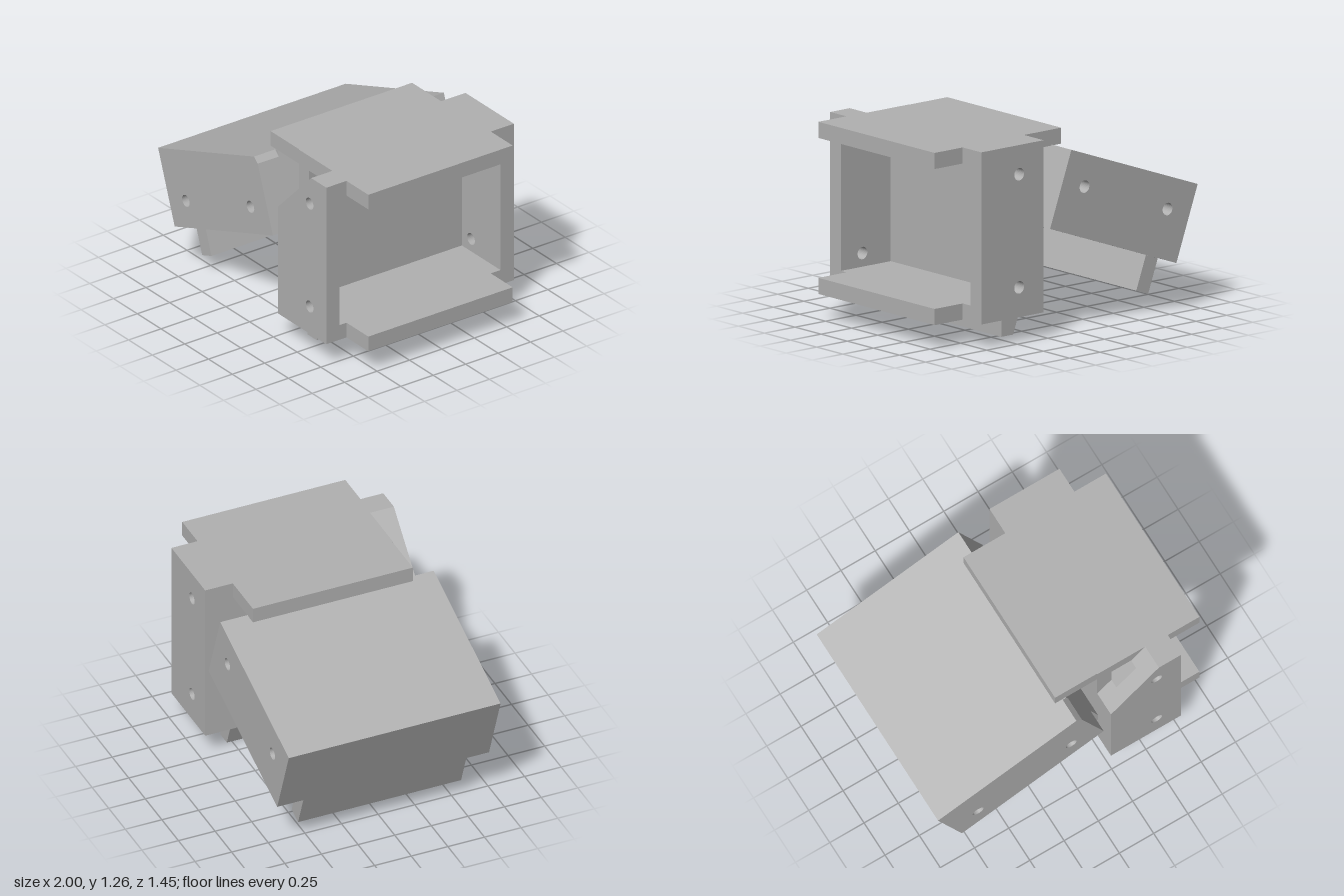
import * as THREE from 'three';

const metal = new THREE.MeshStandardMaterial({ color: 0xb0b0b0 });
metal.name = 'plainGrey';

const LEN = 1.1, DEPTH = 0.51, T = 0.103;   // housing length, depth, wall thickness
const OUT = 0.723, IN = 0.62, CUT = 0.56;   // z of outer faces, inner faces, corner cut

// Extrudes an outline between two z values, with optional round screw holes
function slab(name, points, z0, z1, holes = []) {
  const shape = new THREE.Shape(points.map(([x, y]) => new THREE.Vector2(x, y)));
  for (const [x, y] of holes) {
    const hole = new THREE.Path();
    hole.absarc(x, y, 0.04, 0, Math.PI * 2, true);
    shape.holes.push(hole);
  }
  const geo = new THREE.ExtrudeGeometry(shape, { depth: z1 - z0, bevelEnabled: false, curveSegments: 16 });
  geo.translate(0, 0, z0);
  const mesh = new THREE.Mesh(geo, metal);
  mesh.name = name;
  return mesh;
}

const rect = (x0, y0, x1, y1) => [[x0, y0], [x1, y0], [x1, y1], [x0, y1]];

// Open box with its length along x, its wall at y = 0 and its mouth facing -y.
// du, dv: size of the corner cut on the front side.
function housing(name, du, dv) {
  const g = new THREE.Group();
  g.name = name;
  const holesAt = (y) => [[0.19, y], [0.913, y]];
  const inner = LEN - T;

  // side plates
  g.add(slab('frontPlate', [[0, 0], [0, -DEPTH], [LEN, -DEPTH], [LEN, -dv], [LEN - du, 0]], IN, OUT, holesAt(-0.334)));
  g.add(slab('backPlate', rect(0, -DEPTH, LEN, 0), -OUT, -IN, holesAt(-0.2)));

  // channel made of the wall and both ends
  const channel = (corner) => [[0, 0], [0, -DEPTH], [T, -DEPTH], [T, -T], [inner, -T],
    [inner, -DEPTH], [LEN, -DEPTH], ...corner];
  g.add(slab('channel', channel([[LEN, 0]]), -IN, CUT));

  // front strip of the channel, where the corner is cut away
  if (dv > 2 * T) {
    g.add(slab('wallStrip', [[0, 0], [0, -DEPTH], [T, -DEPTH], [T, -T],
      [LEN - du + T, -T], [LEN - du, 0]], CUT, IN));
    g.add(slab('endStrip', [[inner, T - dv], [inner, -DEPTH], [LEN, -DEPTH], [LEN, -dv]], CUT, IN));
  } else {
    g.add(slab('channelStrip', channel([[LEN, -dv], [LEN - du, 0]]), CUT, IN));
  }

  // locating tabs at the mouth
  for (const x of [0, inner]) {
    g.add(slab('tab', rect(x, -DEPTH - 0.23, x + T, -DEPTH), -0.545, 0.568));
  }
  return g;
}

export function createModel() {
  const model = new THREE.Group();
  model.name = 'hingedHousings';

  const upright = housing('uprightHousing', 0.35, 0.35);
  upright.rotation.z = Math.PI / 2;
  upright.position.set(0.261, 0.162, 0);

  const tilted = housing('tiltedHousing', 0.026, 0.045);
  tilted.rotation.z = THREE.MathUtils.degToRad(20);
  tilted.position.set(-1, 0.79, 0);

  // overlapping plates that join the two housings
  const topLip = slab('topLip', rect(-0.044, 1.16, 0.262, 1.262), -0.535, 0.556);
  const slopingPlate = slab('slopingPlate', [[0.11, 0.657], [0.35, 0], [0.445, 0],
    [0.445, 0.165], [0.398, 0.165], [0.207, 0.69]], -0.535, 0.558);

  model.add(upright, tilted, topLip, slopingPlate);
  return model;
}
